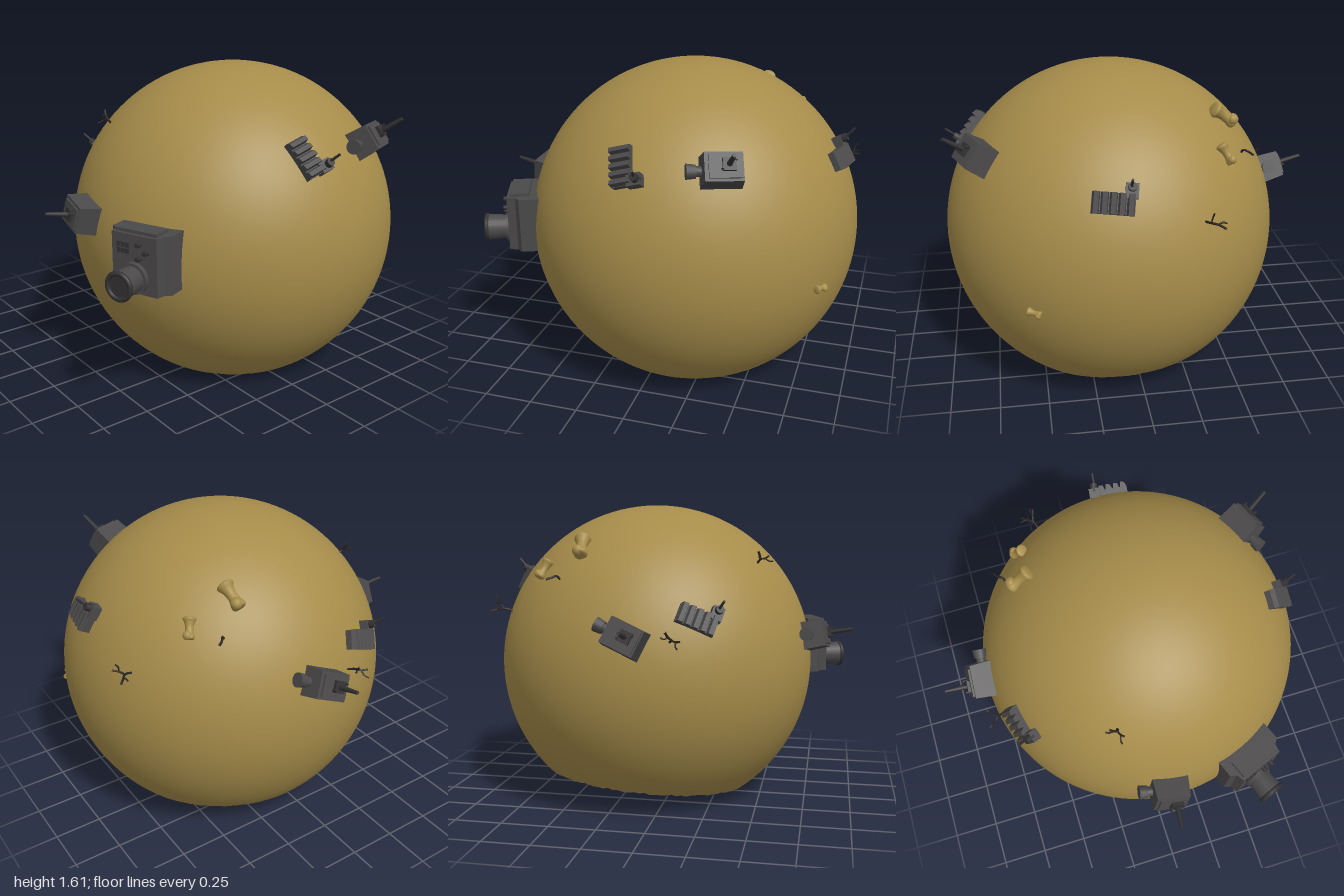
import * as THREE from 'three';

const mat = (name, color, side = THREE.FrontSide) => {
  const m = new THREE.MeshStandardMaterial({ color, side });
  m.name = name;
  return m;
};
const gold = mat('gold', 0xa68c4a, THREE.DoubleSide);
const grey = mat('grey', 0x4b494a);
const dark = mat('dark grey', 0x343233);
const bark = mat('bark', 0x2c2525);

const CENTRE = new THREE.Vector3(0.103, 0.746, -0.113);
const R = 0.878;
const V = (x, y, z) => new THREE.Vector3(x, y, z);

function add(parent, name, geo, material, x = 0, y = 0, z = 0) {
  const m = new THREE.Mesh(geo, material);
  m.name = name;
  m.position.set(x, y, z);
  parent.add(m);
  return m;
}

// Frame on the globe: local z points outward, local x follows a tangent
function mount(root, name, point, tangent, outward) {
  const dir = V(...point).sub(CENTRE).normalize();
  const z = outward ? V(...outward).normalize() : dir.clone();
  const x = V(...tangent);
  x.addScaledVector(z, -x.dot(z)).normalize();
  const g = new THREE.Group();
  g.name = name;
  g.quaternion.setFromRotationMatrix(new THREE.Matrix4().makeBasis(x, z.clone().cross(x), z));
  g.position.copy(CENTRE).addScaledVector(dir, R);
  root.add(g);
  return g;
}

// Box whose outer (+z) face is narrower
function taperBox(w, h, d, k) {
  const geo = new THREE.BoxGeometry(w, h, d);
  const p = geo.attributes.position;
  for (let i = 0; i < p.count; i++) if (p.getZ(i) > 0) p.setXY(i, p.getX(i) * k, p.getY(i) * k);
  geo.computeVertexNormals();
  return geo;
}

// Cylinder along z
const rod = (r0, r1, len, sides = 12, open = false) =>
  new THREE.CylinderGeometry(r1, r0, len, sides, 1, open).rotateX(Math.PI / 2);

// Open globe with a ragged rim, its opening tilted
function globe(root) {
  const rows = 48;
  const geo = new THREE.SphereGeometry(R, 128, rows, 0, Math.PI * 2, 0, 2.43);
  const p = geo.attributes.position;
  for (let i = 0; i <= 128; i++) {
    const k = rows * 129 + i, a = i % 128;
    const t = 2.43 + 0.008 * Math.sin(a * 2.7) + 0.006 * Math.sin(a * 1.13 + 1);
    const f = Math.sin(t) / Math.sin(2.43);
    p.setXYZ(k, p.getX(k) * f, R * Math.cos(t), p.getZ(k) * f);
  }
  const m = add(root, 'globe', geo, gold);
  m.position.copy(CENTRE);
  m.quaternion.setFromUnitVectors(V(0, 1, 0), V(0.102, 1, 0.08).normalize());
}

// Large console with a wide barrel
function console_(root) {
  const g = mount(root, 'console', [0.455, 0.81, 0.68], [0.93, 0, -0.37], [0.37, 0, 0.93]);
  const half = [[0.165, -0.08], [0.165, 0.06], [0.135, 0.08], [0.125, 0.125]];
  const outline = [...half, ...half.map(([x, z]) => [-x, z]).reverse()].map(([x, z]) => new THREE.Vector2(x, -z));
  const body = new THREE.ExtrudeGeometry(new THREE.Shape(outline), { depth: 0.29, bevelEnabled: false });
  body.rotateX(-Math.PI / 2).translate(0, -0.15, 0);
  add(g, 'consoleBody', body, grey);
  add(g, 'topRidge', new THREE.BoxGeometry(0.23, 0.02, 0.1), grey, 0, 0.147, 0.06);
  const barrel = new THREE.Group();
  barrel.name = 'barrel';
  barrel.position.set(0, -0.07, 0);
  g.add(barrel);
  add(barrel, 'barrelTube', rod(0.062, 0.07, 0.13, 24), grey, 0, 0, 0.185);
  add(barrel, 'barrelCollar', rod(0.078, 0.078, 0.025, 24), grey, 0, 0, 0.135);
  add(barrel, 'barrelLip', new THREE.TorusGeometry(0.063, 0.013, 10, 28), dark, 0, 0, 0.25);
  add(barrel, 'barrelMouth', new THREE.CircleGeometry(0.056, 24), dark, 0, 0, 0.252);
  for (let i = 0; i < 3; i++) {
    for (let j = 0; j < 2; j++)
      add(g, 'key', new THREE.BoxGeometry(0.018, 0.024, 0.009), dark, -0.085 + i * 0.024, 0.055 + j * 0.03, 0.127);
    add(g, 'knob', rod(0.014, 0.012, 0.03), dark, 0.03 + (i % 2) * 0.04, 0.03 + i * 0.035, 0.135);
  }
}

// Tapered cabin with a mast and a side pod
function turret(root, point, tangent) {
  const g = mount(root, 'turret', point, tangent);
  add(g, 'cabin', taperBox(0.2, 0.155, 0.16, 0.88), grey, 0, 0, 0.025);
  add(g, 'cabinRoof', new THREE.BoxGeometry(0.15, 0.11, 0.015), grey, 0.005, 0, 0.108);
  add(g, 'mastBase', new THREE.BoxGeometry(0.06, 0.06, 0.025), dark, 0.02, 0.005, 0.12);
  add(g, 'mast', rod(0.014, 0.009, 0.13, 8), dark, 0.02, 0.005, 0.185);
  for (const s of [-1, 1])
    add(g, 'lever', rod(0.006, 0.006, 0.04, 6), dark, 0.02 + s * 0.03, 0.005 + s * 0.02, 0.125);
  add(g, 'podArm', rod(0.025, 0.025, 0.05).rotateY(Math.PI / 2), grey, -0.11, 0, 0.025);
  add(g, 'pod', rod(0.037, 0.032, 0.045, 14).rotateY(Math.PI / 2), grey, -0.14, 0, 0.025);
}

// Ribbed slab with a small gun at one end
function ribbed(root, point, tangent) {
  const g = mount(root, 'ribbedUnit', point, tangent);
  add(g, 'slab', new THREE.BoxGeometry(0.2, 0.095, 0.05), grey, 0, 0, 0);
  const tooth = new THREE.Shape([[0, 0], [0.038, 0], [0.032, 0.032], [0.01, 0.026]].map((p) => new THREE.Vector2(...p)));
  const geo = new THREE.ExtrudeGeometry(tooth, { depth: 0.1, bevelEnabled: false });
  geo.rotateX(Math.PI / 2).translate(0, 0.05, 0);
  for (let i = 0; i < 5; i++) add(g, 'rib', geo, grey, -0.1 + i * 0.04, 0, 0.022);
  add(g, 'gunBlock', new THREE.BoxGeometry(0.06, 0.07, 0.05), grey, 0.08, 0.065, 0.015);
  add(g, 'gunHead', rod(0.022, 0.02, 0.045), dark, 0.08, 0.08, 0.045);
  const barrel = add(g, 'gunBarrel', rod(0.007, 0.006, 0.08, 8), dark, 0.075, 0.09, 0.085);
  barrel.rotation.x = -0.35;
}

// Forked bare twig
function twig(root, point, tangent, height, forked = true) {
  const g = mount(root, 'twig', point, tangent);
  const limb = (pts, r) => add(g, 'branch',
    new THREE.TubeGeometry(new THREE.CatmullRomCurve3(pts.map((p) => V(p[0], p[1], p[2] * height))), 10, r, 6), bark);
  limb([[0, 0, -0.1], [0.008, 0.005, 0.35], [-0.012, 0.015, 0.7], [-0.03, 0.035, 1]], 0.006);
  if (!forked) return;
  limb([[0.005, 0.005, 0.4], [0.025, -0.005, 0.65], [0.048, -0.005, 0.9]], 0.005);
  limb([[0.025, -0.005, 0.65], [0.025, -0.03, 0.8], [0.035, -0.045, 1]], 0.004);
  limb([[-0.008, 0.015, 0.65], [-0.03, 0.005, 0.75], [-0.05, 0.01, 0.8]], 0.004);
}

// Rounded stump with a bulging head
function stump(root, point, tangent, s) {
  const g = mount(root, 'stump', point, tangent);
  g.scale.setScalar(s);
  const profile = [[0, -0.07], [0.03, -0.068], [0.036, -0.05], [0.028, -0.025], [0.026, 0.01], [0.034, 0.04], [0.044, 0.062], [0.03, 0.075], [0, 0.078]];
  const curve = new THREE.SplineCurve(profile.map((p) => new THREE.Vector2(...p)));
  const pts = curve.getPoints(24).map((p) => new THREE.Vector2(Math.max(0, p.x), p.y));
  add(g, 'stumpBody', new THREE.LatheGeometry(pts, 18).rotateZ(-Math.PI / 2), gold, 0, 0, 0.022);
  add(g, 'stumpKnob', new THREE.SphereGeometry(0.03, 14, 10), gold, -0.045, 0.008, 0.038);
}

export function createModel() {
  const root = new THREE.Group();
  root.name = 'outpostGlobe';
  globe(root);
  console_(root);

  turret(root, [0, 0.92, 0.8], [1, -0.2, 0]);
  turret(root, [-0.8, 0.985, -0.085], [-0.1, -0.4, 0.9]);
  turret(root, [0.8, 1.28, -0.43], [0, 0.25, -1]);

  ribbed(root, [0.18, 1.19, -0.9], [-1, 0, -0.3]);
  ribbed(root, [0.82, 1.255, 0.04], [0.1, -0.18, -0.05]);
  ribbed(root, [-0.65, 1.06, 0.24], [0.08, -0.1, 0.18]);

  twig(root, [-0.21, 1.35, 0.52], [1, 0, 0.3], 0.06);
  twig(root, [-0.3, 1.08, -0.93], [1, 0, 0], 0.11);
  twig(root, [-0.76, 0.97, 0.13], [0, 0, 1], 0.1);
  twig(root, [-0.52, 1.24, -0.49], [1, 0, 0.4], 0.06, false);

  stump(root, [-0.46, 1.42, -0.4], [1, 0, 0.1], 1);
  stump(root, [-0.4, 1.27, -0.6], [0.08, 0, 0.07], 0.75);
  stump(root, [0.57, 0.63, -0.9], [1, 0.1, 0.4], 0.5);
  return root;
}
